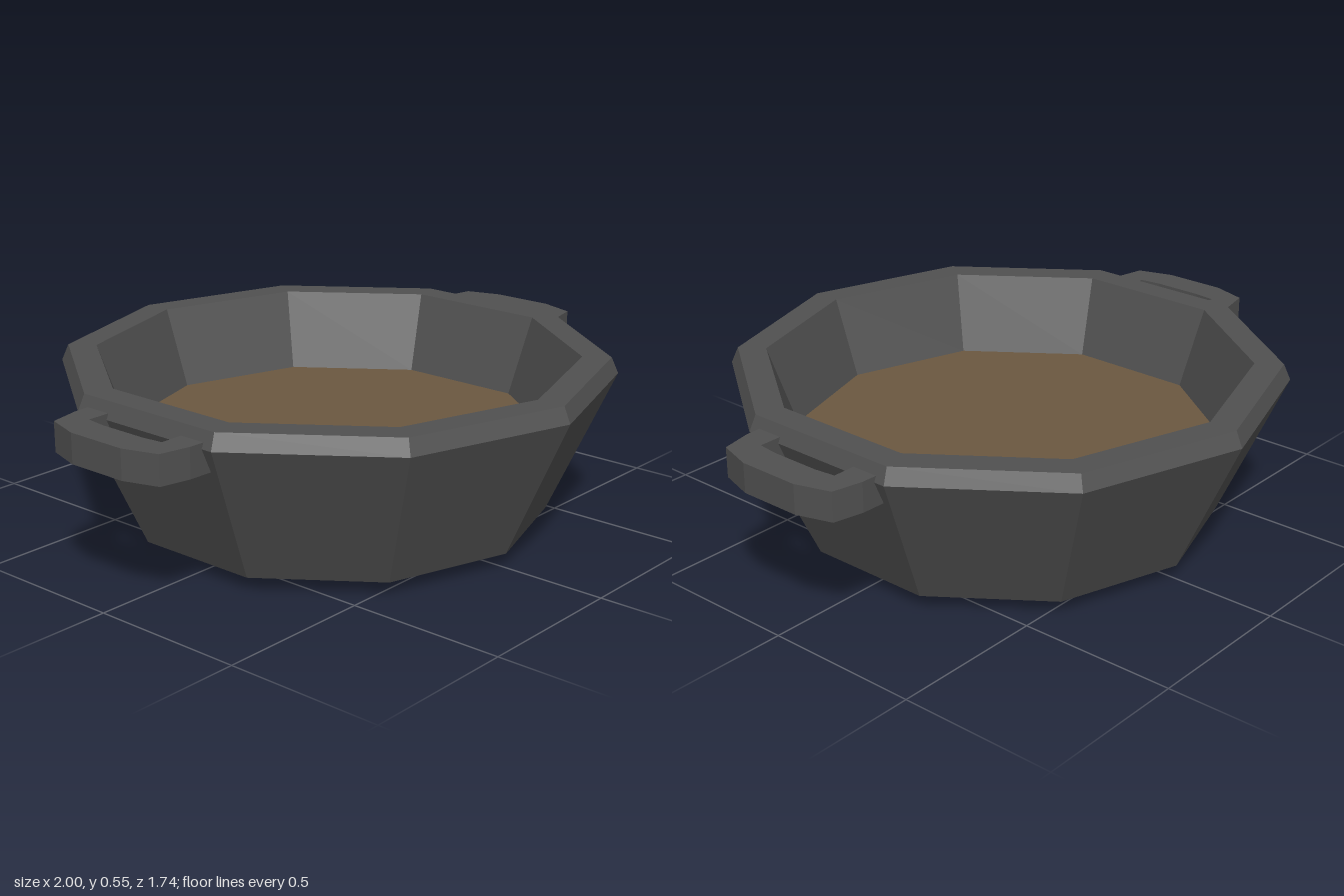
import * as THREE from 'three';

const SIDES = 10;

export function createModel() {
  const model = new THREE.Group();
  model.name = 'pot';
  const iron = new THREE.MeshStandardMaterial({ color: 0x505050, flatShading: true });
  const broth = new THREE.MeshStandardMaterial({ color: 0x6b5840, flatShading: true });

  const add = (name, geometry, material, parent = model) => {
    const mesh = new THREE.Mesh(geometry, material);
    mesh.name = name;
    parent.add(mesh);
    return mesh;
  };

  // Ten-sided bowl: underside, flared outer wall, bevelled rim, inner wall and floor
  const profile = [
    [0, 0], [0.54, 0], [0.665, 0.045], [0.87, 0.495], [0.848, 0.545],
    [0.758, 0.545], [0.67, 0.295], [0.59, 0.08], [0, 0.08],
  ].map(([r, y]) => new THREE.Vector2(r, y));
  add('bowl', new THREE.LatheGeometry(profile, SIDES), iron);

  // Flat surface of the contents
  const surface = new THREE.CircleGeometry(0.67, SIDES, Math.PI / 2);
  surface.rotateX(-Math.PI / 2);
  add('contents', surface, broth).position.y = 0.295;

  // Bent grip outlined from above, mirrored across its middle; ends sink into the wall
  const half = [[0.77, 0.235], [0.87, 0.232], [0.965, 0.212], [1, 0.1]];
  const innerHalf = [[0.9, 0.08], [0.892, 0.147], [0.77, 0.147]];
  const flip = (pts) => pts.map(([x, z]) => [x, -z]).reverse();
  const outline = [...half, ...flip(half), ...flip(innerHalf), ...innerHalf];
  const shape = new THREE.Shape(outline.map(([x, z]) => new THREE.Vector2(x, z)));
  const grip = new THREE.ExtrudeGeometry(shape, { depth: 0.093, bevelEnabled: false });
  grip.rotateX(-Math.PI / 2);
  grip.translate(0, 0.42, 0);

  add('leftHandle', grip, iron);
  add('rightHandle', grip, iron).rotation.y = Math.PI;

  return model;
}
